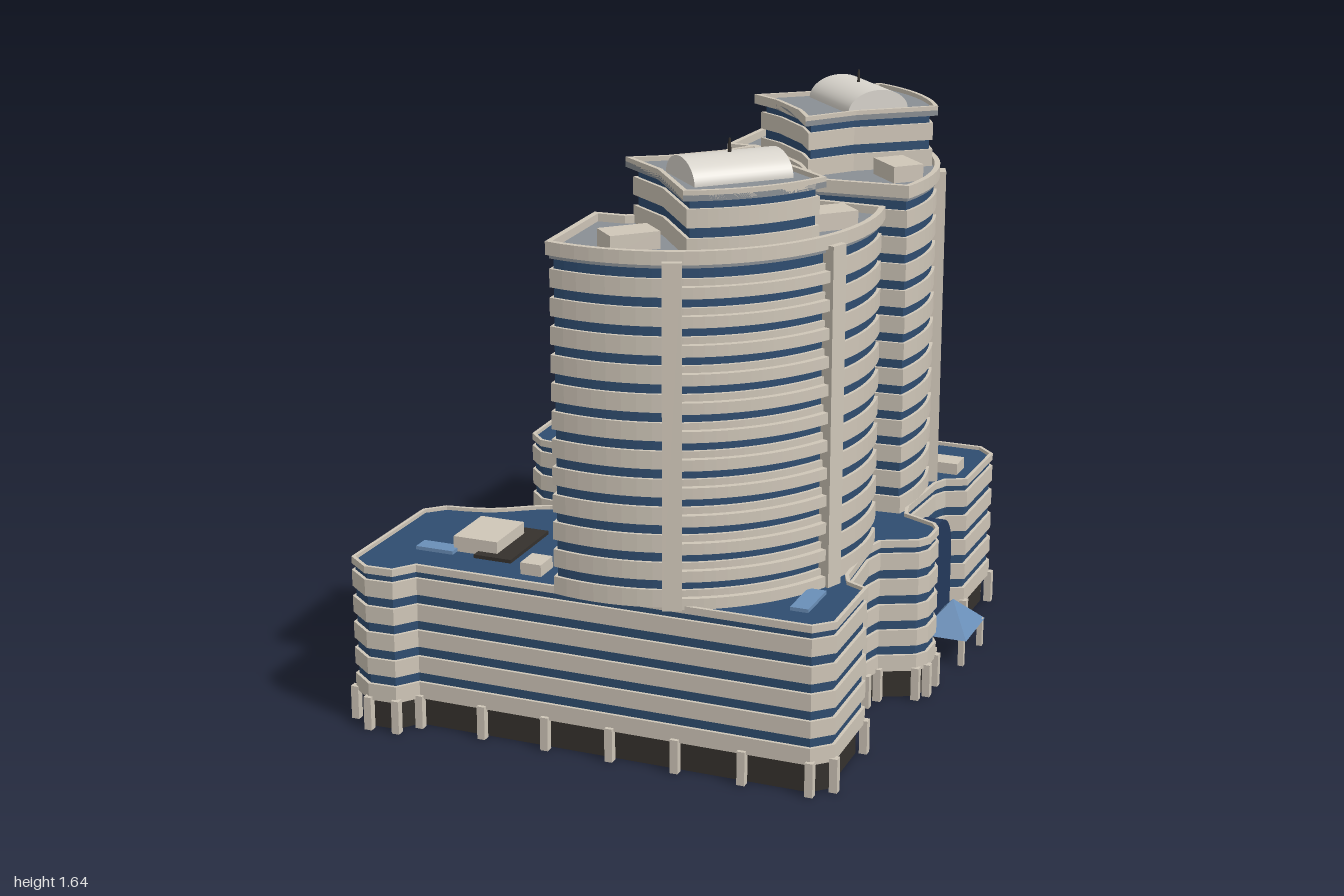
import * as THREE from 'three';

const mat = (color, flat = true) => new THREE.MeshStandardMaterial({ color, flatShading: flat, side: THREE.DoubleSide });
const STONE = mat(0xcfc6b8), GLASS = mat(0x2f4d70), ROOF = mat(0x8a8f94), DARK = mat(0x35312d),
  PANE = mat(0x6a8fb8), GREEN = mat(0x7fb594), PAVING = mat(0xbfb6a9), ARCH = mat(0x243a5c),
  WHITE = mat(0xd8d4cc, false);

function add(parent, name, geo, material, x = 0, y = 0, z = 0, ry = 0) {
  const m = new THREE.Mesh(geo, material);
  m.name = name;
  m.position.set(x, y, z);
  m.rotation.y = ry;
  parent.add(m);
  return m;
}

// Box standing on y
const box = (parent, name, material, w, h, d, x, y, z, ry = 0) =>
  add(parent, name, new THREE.BoxGeometry(w, h, d), material, x, y + h / 2, z, ry);

const disc = (parent, name, material, r, h, x, y, z) =>
  add(parent, name, new THREE.CylinderGeometry(r, r, h, 28), material, x, y + h / 2, z);

// Moves a closed plan outline outwards by d (inwards when negative)
function offset(pts, d) {
  const n = pts.length;
  let area = 0;
  pts.forEach(([x, z], i) => { const [a, b] = pts[(i + 1) % n]; area += x * b - a * z; });
  const s = area > 0 ? 1 : -1;
  const normal = ([x, z], [a, b]) => {
    const l = Math.hypot(a - x, b - z);
    return [s * (b - z) / l, -s * (a - x) / l];
  };
  return pts.map((p, i) => {
    const a = normal(pts[(i + n - 1) % n], p), b = normal(p, pts[(i + 1) % n]);
    const k = d / Math.max(0.5, 1 + a[0] * b[0] + a[1] * b[1]);
    return [p[0] + (a[0] + b[0]) * k, p[1] + (a[1] + b[1]) * k];
  });
}

// Extrudes a plan outline of [x, z] points from y0 to y1
function slab(parent, name, material, pts, y0, y1, hole) {
  const vecs = (l) => l.map(([x, z]) => new THREE.Vector2(x, -z));
  const shape = new THREE.Shape(vecs(pts));
  if (hole) shape.holes.push(new THREE.Path(vecs(hole)));
  const geo = new THREE.ExtrudeGeometry(shape, { depth: y1 - y0, bevelEnabled: false });
  geo.rotateX(-Math.PI / 2);
  return add(parent, name, geo, material, 0, y0, 0);
}

// Glass core with projecting stone bands, one per floor
function floors(parent, name, pts, y0, count, step, band) {
  slab(parent, name + 'Glazing', GLASS, offset(pts, -0.009), y0, y0 + count * step);
  for (let i = 0; i < count; i++)
    slab(parent, name + 'Band', STONE, pts, y0 + i * step, y0 + i * step + band);
}

const swap = ([x, z]) => [z, x];

// Half of the podium plan; the other half swaps x and z
const OUTER = [[0.565, 0.46], [0.555, 0.5], [0.5, 0.555], [0.46, 0.565], [0.36, 0.53], [0.31, 0.56], [0.17, 0.72], [0.155, 0.76],
  [0.175, 0.82], [0, 1], [-0.07, 1], [-0.86, 0.21], [-0.93, 0.22], [-0.99, 0.165], [-1, 0.08], [-0.71, -0.2]].slice(2);
const COURT = [[-0.64, -0.2], [-0.53, -0.13], [-0.37, -0.09], [-0.26, 0], [-0.13, 0.1], [-0.02, 0.13], [0.07, 0.1]];
const courtCurve = new THREE.SplineCurve([...COURT, ...COURT.map(swap).reverse()].map((p) => new THREE.Vector2(...p)))
  .getPoints(52).map((v) => [v.x, v.y]);
const PODIUM = [...OUTER, ...courtCurve, ...OUTER.map(swap).reverse()];

function pyramid(parent, name, w, h, d, x, y, z) {
  const geo = new THREE.ConeGeometry(Math.SQRT1_2, 1, 4).rotateY(Math.PI / 4).scale(w, h, d);
  add(parent, name, geo, PANE, x, y + h / 2, z, Math.PI / 4);
}

function makePodium() {
  const g = new THREE.Group();
  g.name = 'podium';
  slab(g, 'base', DARK, offset(PODIUM, -0.02), 0, 0.086);
  floors(g, 'podium', PODIUM, 0.085, 5, 0.075, 0.047);
  slab(g, 'podiumParapet', STONE, PODIUM, 0.45, 0.47, offset(PODIUM, -0.01));

  // Piers along the street sides of the base
  for (const side of [OUTER, OUTER.map(swap)]) {
    for (let i = 0; i + 1 < side.length; i++) {
      const [a, b] = [side[i], side[i + 1]];
      const n = Math.max(1, Math.round(Math.hypot(b[0] - a[0], b[1] - a[1]) / 0.18));
      for (let k = 0; k < n; k++) {
        const t = k / n;
        box(g, 'basePier', STONE, 0.022, 0.095, 0.022,
          a[0] + (b[0] - a[0]) * t, 0, a[1] + (b[1] - a[1]) * t, Math.PI / 4);
      }
    }
  }

  // Roof plant, hatches and skylights: material, width, height, depth, x, z, angle
  const q = Math.PI / 4;
  for (const [m, w, h, d, x, z, r] of [
    [DARK, 0.26, 0.012, 0.14, 0.15, -0.585, -q], [STONE, 0.14, 0.04, 0.12, 0.15, -0.755, -q],
    [DARK, 0.24, 0.012, 0.11, -0.57, 0.15, q], [STONE, 0.17, 0.045, 0.13, -0.62, 0.11, q],
    [PANE, 0.11, 0.012, 0.05, -0.76, 0.095, -q], [PANE, 0.14, 0.012, 0.05, 0, 0.83, q],
    [STONE, 0.075, 0.035, 0.06, -0.57, 0.35, q], [STONE, 0.09, 0.035, 0.08, -0.07, 0.31, q],
    [STONE, 0.09, 0.035, 0.07, 0.815, 0.05, -q],
  ]) box(g, 'roofUnit', m, w, h, d, x, 0.458, z, r);
  return g;
}

function makeEntrance() {
  const g = new THREE.Group();
  g.name = 'entrance';
  // Tall arched window facing the corner
  const s = new THREE.Shape();
  s.moveTo(-0.11, 0.08);
  s.lineTo(0.11, 0.08);
  s.lineTo(0.11, 0.285);
  s.absarc(0, 0.285, 0.11, 0, Math.PI, false);
  s.closePath();
  const geo = new THREE.ExtrudeGeometry(s, { depth: 0.16, bevelEnabled: false, curveSegments: 16 });
  add(g, 'archedWindow', geo.translate(0, 0, -0.16), ARCH, 0.68, 0, 0.28, Math.PI / 4);
  // Glass canopy on posts
  pyramid(g, 'entranceCanopy', 0.19, 0.085, 0.14, 0.71, 0.08, 0.31);
  for (const [x, z] of [[0.81, 0.295], [0.69, 0.405]])
    box(g, 'canopyPost', STONE, 0.016, 0.085, 0.016, x, 0, z, Math.PI / 4);
  return g;
}

function makeCourtyard() {
  const g = new THREE.Group();
  g.name = 'courtyard';
  slab(g, 'paving', PAVING, [[-0.7, -0.2], ...courtCurve, [-0.2, -0.7]], 0.002, 0.02);
  disc(g, 'fountain', WHITE, 0.052, 0.02, -0.23, 0.02, -0.23);
  const ring = new THREE.TorusGeometry(0.135, 0.003, 4, 40).rotateX(Math.PI / 2);
  add(g, 'pavingRing', ring, ROOF, -0.23, 0.021, -0.23);
  disc(g, 'lawn', GREEN, 0.072, 0.012, -0.33, 0.02, -0.41);
  disc(g, 'lawn', GREEN, 0.078, 0.012, -0.075, 0.02, -0.04);
  disc(g, 'lawn', GREEN, 0.03, 0.012, 0.095, 0.02, -0.04);
  box(g, 'planterRim', STONE, 0.13, 0.015, 0.055, -0.44, 0.02, -0.26, Math.PI / 4);
  box(g, 'planter', GREEN, 0.115, 0.02, 0.04, -0.44, 0.02, -0.26, Math.PI / 4);
  pyramid(g, 'courtyardCanopy', 0.15, 0.03, 0.14, 0.02, 0.085, 0.01);
  return g;
}

// Curved street front shared by all tower parts
const R = 0.55, CZ = 0.225;
const arc = (u0, u1, r, n) => {
  const a0 = Math.asin(u0 / R), a1 = Math.asin(u1 / R);
  return Array.from({ length: n + 1 }, (_, i) => {
    const a = a0 + (a1 - a0) * i / n;
    return [r * Math.sin(a), CZ + r * Math.cos(a)];
  });
};

function makeTower(name) {
  const g = new THREE.Group();
  g.name = name;
  const back = [[0.25, 0.29], [0.19, 0.345], [0.1, 0.362], [0, 0.367], [-0.1, 0.362], [-0.19, 0.345], [-0.25, 0.29]];
  const plan = [...arc(-0.465, 0.465, R, 28), ...back];
  floors(g, 'tower', plan, 0.46, 12, 0.075, 0.048);
  slab(g, 'towerRoof', ROOF, plan, 1.36, 1.384);
  const eave = offset(plan, 0.008);
  slab(g, 'towerParapet', STONE, eave, 1.37, 1.405, offset(plan, -0.008));

  // Balconies in the middle bay between two tall piers
  const bay = [...arc(-0.2, 0.2, R + 0.016, 14), ...arc(0.2, -0.2, R - 0.03, 14)];
  for (let i = 0; i < 12; i++)
    slab(g, 'balcony', STONE, bay, 0.46 + i * 0.075, 0.49 + i * 0.075);
  for (const s of [-1, 1]) {
    const a = s * Math.asin(0.22 / R);
    box(g, 'facadePier', STONE, 0.05, 0.92, 0.05, R * Math.sin(a), 0.46, CZ + R * Math.cos(a), a);
    box(g, 'roofPlant', STONE, 0.135, 0.05, 0.09, s * 0.275, 1.38, 0.58);
  }

  // Set-back penthouse with an overhanging roof
  const pent = [...arc(-0.185, 0.185, R - 0.012, 14), [0.15, 0.5], [0.17, 0.35], [0.08, 0.37], [-0.08, 0.37], [-0.17, 0.35], [-0.15, 0.5]];
  floors(g, 'penthouse', pent, 1.384, 2, 0.075, 0.048);
  const cap = offset(pent, 0.012);
  slab(g, 'penthouseRoof', ROOF, cap, 1.53, 1.545);
  slab(g, 'penthouseParapet', STONE, cap, 1.53, 1.557, offset(pent, 0));

  // Barrel vault and mast
  const vault = new THREE.CylinderGeometry(1, 1, 0.27, 24, 1, false, 0, Math.PI)
    .rotateZ(Math.PI / 2).scale(1, 0.06, 0.093);
  add(g, 'roofVault', vault, WHITE, 0, 1.545, 0.58);
  add(g, 'mast', new THREE.CylinderGeometry(0.003, 0.005, 0.04, 6), DARK, 0, 1.62, 0.58);
  return g;
}

export function createModel() {
  const model = new THREE.Group();
  model.name = 'twinTowerComplex';
  model.add(makePodium(), makeEntrance(), makeCourtyard());
  const front = makeTower('frontTower');
  front.position.x = -0.118;
  const side = makeTower('sideTower');
  side.rotation.y = Math.PI / 2;
  side.position.z = -0.1;
  side.scale.x = 0.93;
  model.add(front, side);
  return model;
}
